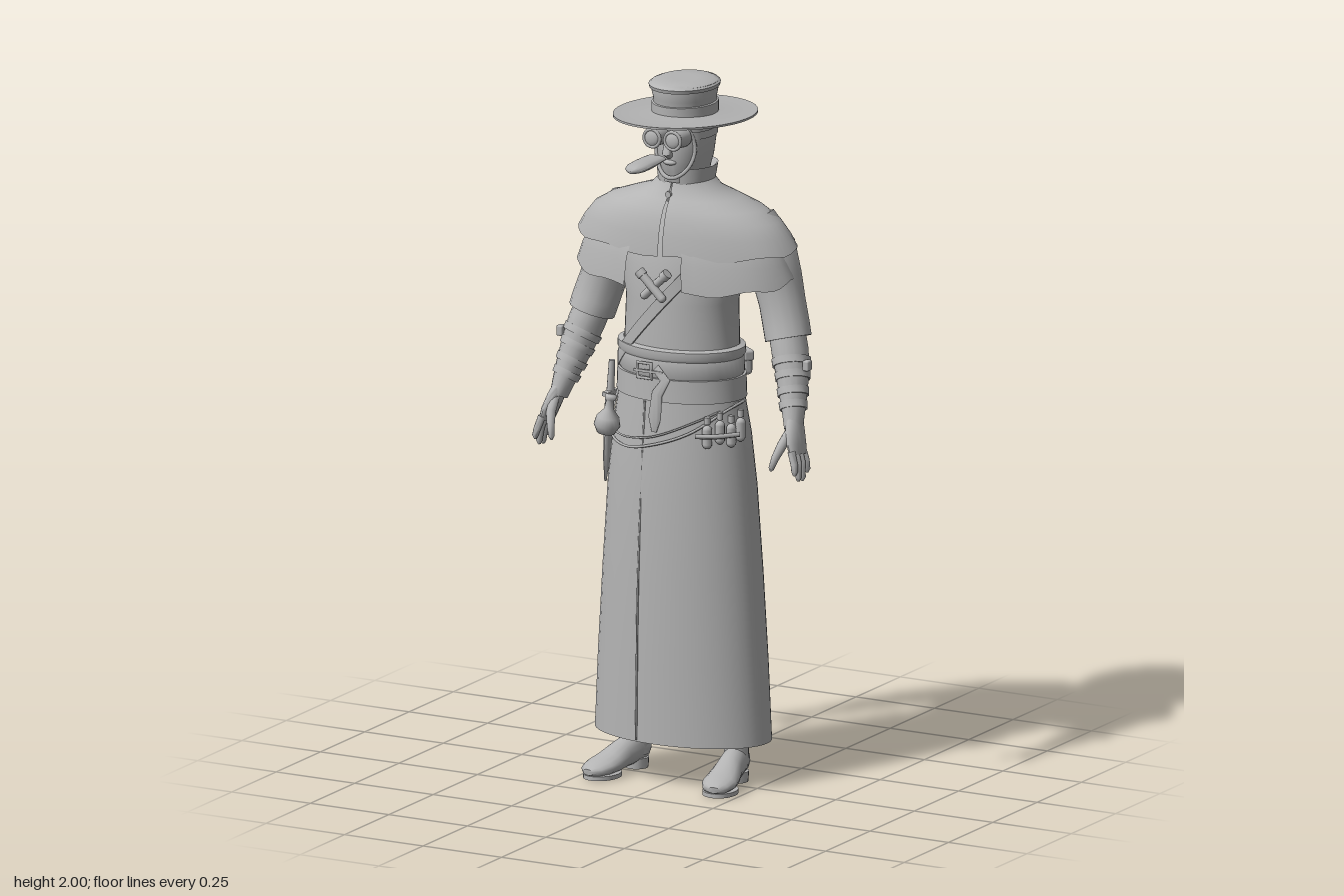
import * as THREE from 'three';
import { toCreasedNormals } from 'three/addons/utils/BufferGeometryUtils.js';
import { RoundedBoxGeometry } from 'three/addons/geometries/RoundedBoxGeometry.js';

const V = (x, y, z) => new THREE.Vector3(x, y, z);

export function createModel() {
  const root = new THREE.Group();
  root.name = 'robedFigure';
  const grey = new THREE.MeshStandardMaterial({ color: 0xb4b4b4, side: THREE.DoubleSide });
  grey.name = 'plain grey';

  const add = (name, geo, parent = root) => {
    const m = new THREE.Mesh(geo, grey);
    m.name = name;
    parent.add(m);
    return m;
  };
  const group = (name, parent = root) => {
    const g = new THREE.Group();
    g.name = name;
    parent.add(g);
    return g;
  };

  // Skin a list of point rings
  function skin(rings, closed = true, caps = false, crease = 0.9) {
    const n = rings[0].length, pos = [], idx = [];
    rings.forEach(r => r.forEach(p => pos.push(p.x, p.y, p.z)));
    for (let i = 0; i < rings.length - 1; i++) {
      for (let j = 0; j < (closed ? n : n - 1); j++) {
        const a = i * n + j, b = i * n + (j + 1) % n;
        idx.push(a, b, a + n, b, b + n, a + n);
      }
    }
    if (caps) [0, rings.length - 1].forEach(k => {
      const c = rings[k].reduce((s, p) => s.add(p), V(0, 0, 0)).divideScalar(n);
      const ci = pos.length / 3;
      pos.push(c.x, c.y, c.z);
      for (let j = 0; j < n; j++) {
        const a = k * n + j, b = k * n + (j + 1) % n;
        if (k) idx.push(a, b, ci); else idx.push(b, a, ci);
      }
    });
    const g = new THREE.BufferGeometry();
    g.setAttribute('position', new THREE.Float32BufferAttribute(pos, 3));
    g.setIndex(idx);
    return toCreasedNormals(g, crease);
  }

  // Oval levels from bottom to top: [y, half width, front z, back z]
  function levels(list, { from = 0, to = Math.PI * 2, caps = false, tiltX = 0, tiltZ = 0, hem = null, n = 48 } = {}) {
    const closed = to - from > 6.28;
    const rings = list.map(([y, rx, zf, zb], i) => Array.from({ length: n }, (_, j) => {
      const a = from + (to - from) * j / (closed ? n : n - 1);
      const x = rx * Math.sin(a), z = (zf + zb) / 2 + (zf - zb) / 2 * Math.cos(a);
      return V(x, y + tiltX * x + tiltZ * z + (hem && i === 0 ? hem(a) : 0), z);
    }));
    return skin(rings, closed, caps);
  }

  // Tapered limb: rows of [x, y, z, radius along ref, other radius]
  function limb(rows, ref = V(0, 0, 1), n = 16) {
    const pts = rows.map(r => V(r[0], r[1], r[2]));
    const rings = rows.map((r, i) => {
      const t = pts[Math.min(i + 1, pts.length - 1)].clone().sub(pts[Math.max(i - 1, 0)]).normalize();
      const u = ref.clone().addScaledVector(t, -ref.dot(t)).normalize();
      const v = t.clone().cross(u);
      return Array.from({ length: n }, (_, j) => {
        const a = j / n * Math.PI * 2;
        return pts[i].clone().addScaledVector(u, r[3] * Math.cos(a)).addScaledVector(v, (r[4] ?? r[3]) * Math.sin(a));
      });
    });
    return skin(rings, true, true);
  }
  const tube = (pts, r) => new THREE.TubeGeometry(new THREE.CatmullRomCurve3(pts.map(p => V(...p))), 32, r, 6);

  // Robe
  add('skirt', levels([[0.125, 0.267, 0.137, -0.19], [0.35, 0.256, 0.137, -0.188], [0.6, 0.24, 0.135, -0.184],
    [0.85, 0.222, 0.13, -0.175], [1.0, 0.205, 0.122, -0.165], [1.13, 0.183, 0.112, -0.148]]));
  add('torso', levels([[1.08, 0.18, 0.11, -0.146], [1.25, 0.17, 0.106, -0.145], [1.38, 0.165, 0.106, -0.152],
    [1.48, 0.19, 0.1, -0.158], [1.58, 0.2, 0.075, -0.155], [1.66, 0.11, 0.04, -0.13]]));
  add('robeSeam', tube([[-0.06, 0.13, 0.135], [-0.055, 0.6, 0.132], [-0.045, 1.1, 0.112]], 0.003));

  // Two layered cape with an open front
  add('lowerCape', levels([[1.455, 0.335, 0.122, -0.205], [1.5, 0.318, 0.116, -0.203], [1.56, 0.29, 0.1, -0.19], [1.63, 0.22, 0.07, -0.16]],
    { from: 0.22, to: Math.PI * 2 - 0.34, hem: a => -0.035 * Math.max(0, Math.cos(a)) + 0.006 * Math.sin(9 * a) }));
  add('upperCape', levels([[1.54, 0.338, 0.108, -0.212], [1.575, 0.318, 0.102, -0.208], [1.615, 0.285, 0.092, -0.195], [1.645, 0.235, 0.08, -0.18],
    [1.67, 0.165, 0.062, -0.157], [1.69, 0.105, 0.048, -0.135], [1.715, 0.078, 0.038, -0.127]],
    { from: 0.02, to: Math.PI * 2 - 0.02, hem: a => -0.022 * Math.max(0, Math.cos(a)) + 0.005 * Math.sin(8 * a) }));
  add('collar', levels([[1.69, 0.075, 0.04, -0.128], [1.755, 0.084, 0.042, -0.14], [1.752, 0.078, 0.034, -0.134], [1.7, 0.069, 0.03, -0.122]],
    { from: 0.3, to: Math.PI * 2 - 0.3 }));
  const clasp = add('clasp', new THREE.CylinderGeometry(0.009, 0.009, 0.008, 12));
  clasp.rotation.x = Math.PI / 2;
  clasp.position.set(0, 1.685, 0.058);

  // Head and hood
  const head = group('head');
  add('hood', levels([[1.66, 0.06, 0.025, -0.12], [1.71, 0.058, 0.032, -0.122], [1.745, 0.062, 0.045, -0.128], [1.78, 0.073, 0.053, -0.134],
    [1.83, 0.08, 0.052, -0.137], [1.88, 0.081, 0.047, -0.137], [1.92, 0.08, 0.045, -0.136]]), head);
  const rim = Array.from({ length: 24 }, (_, i) => {
    const a = i / 24 * Math.PI * 2;
    return V(0.062 * Math.sin(a), 1.815 + 0.085 * Math.cos(a), 0.05 - 0.032 * Math.sin(a) ** 2);
  });
  add('hoodRim', new THREE.TubeGeometry(new THREE.CatmullRomCurve3(rim, true), 48, 0.006, 6, true), head);
  add('nose', limb([[0, 1.86, 0.045, 0.006], [0, 1.825, 0.062, 0.012], [0, 1.805, 0.066, 0.014], [0, 1.795, 0.052, 0.01]]), head);
  add('mouth', new THREE.SphereGeometry(0.02, 16, 8).scale(1, 0.4, 0.6).translate(0, 1.775, 0.05), head);
  for (const s of [-1, 1]) {
    const cup = add('goggleCup', new THREE.CylinderGeometry(0.025, 0.029, 0.055, 20), head);
    cup.rotation.x = Math.PI / 2;
    cup.position.set(s * 0.033, 1.85, 0.065);
    add('goggleRing', new THREE.TorusGeometry(0.025, 0.005, 8, 24).translate(s * 0.033, 1.85, 0.093), head);
    add('goggleLens', new THREE.SphereGeometry(0.023, 16, 8).scale(1, 1, 0.4).translate(s * 0.033, 1.85, 0.092), head);
  }
  add('goggleStrap', levels([[1.84, 0.084, 0.054, -0.141], [1.862, 0.084, 0.054, -0.141]]), head);
  // Detached beak tip
  add('beak', limb([[0, 1.806, 0.127, 0.008, 0.032], [0, 1.803, 0.2, 0.014, 0.034], [0, 1.802, 0.235, 0.013, 0.033],
    [0, 1.801, 0.258, 0.011, 0.025], [0, 1.8, 0.27, 0.008, 0.013], [0, 1.8, 0.275, 0.002, 0.003]], V(0, 1, 0)), head);

  // Hat
  const hat = group('hat');
  add('brim', levels([[1.897, 0.078, 0.06, -0.13], [1.892, 0.14, 0.14, -0.21], [1.898, 0.187, 0.204, -0.279],
    [1.904, 0.187, 0.204, -0.279], [1.902, 0.14, 0.14, -0.21], [1.908, 0.078, 0.06, -0.13]], { tiltZ: 0.05 }), hat);
  add('crown', levels([[1.9, 0.084, 0.06, -0.133], [1.95, 0.085, 0.064, -0.136], [1.985, 0.092, 0.074, -0.143],
    [1.993, 0.09, 0.071, -0.14], [1.999, 0.075, 0.055, -0.125], [2.0, 0.04, 0.01, -0.08]], { caps: true }), hat);
  add('hatBand', levels([[1.905, 0.09, 0.066, -0.139], [1.935, 0.09, 0.067, -0.139], [1.937, 0.084, 0.062, -0.134]]), hat);
  add('crownTrim', levels([[1.978, 0.094, 0.076, -0.144], [1.988, 0.096, 0.079, -0.146], [1.994, 0.088, 0.07, -0.14]]), hat);

  // Belts and the shoulder strap
  const belts = group('belts');
  add('waistBelt', levels([[1.105, 0.186, 0.116, -0.153], [1.105, 0.192, 0.124, -0.16], [1.17, 0.19, 0.122, -0.158], [1.17, 0.182, 0.114, -0.15]]), belts);
  add('waistSash', levels([[1.165, 0.18, 0.112, -0.15], [1.175, 0.185, 0.117, -0.154], [1.235, 0.184, 0.118, -0.154], [1.245, 0.172, 0.108, -0.146]]), belts);
  add('sashTrim', levels([[1.222, 0.184, 0.12, -0.155], [1.23, 0.189, 0.124, -0.159], [1.25, 0.188, 0.123, -0.158], [1.255, 0.172, 0.108, -0.146]]), belts);
  add('shoulderStrap', levels([[1.355, 0.186, 0.112, -0.158], [1.357, 0.192, 0.118, -0.165], [1.403, 0.192, 0.118, -0.165], [1.405, 0.186, 0.112, -0.158]],
    { tiltX: 1.1 }), belts);
  [[-0.045, 0.05, 0.008], [-0.045, -0.025 + 0.025, 0.008]].forEach(([x, h, t]) => h &&
    add('buckleTongue', new THREE.BoxGeometry(0.09, t, 0.006).translate(x + 0.02, 1.19, 0.128), belts));
  const buckle = add('buckle', new THREE.TorusGeometry(0.03, 0.006, 6, 4), belts);
  buckle.geometry.rotateZ(Math.PI / 4);
  buckle.position.set(-0.04, 1.19, 0.124);
  add('beltTail', limb([[-0.005, 1.2, 0.122, 0.004, 0.014], [0.03, 1.17, 0.13, 0.004, 0.016], [0.005, 1.13, 0.131, 0.004, 0.017],
    [-0.003, 1.06, 0.131, 0.004, 0.02], [-0.005, 1.02, 0.13, 0.004, 0.008]]), belts);
  add('hipCord', tube([[-0.2, 1.1, -0.02], [-0.185, 0.99, 0.06], [-0.1, 0.965, 0.12], [0, 0.985, 0.132], [0.1, 1.025, 0.113],
    [0.18, 1.085, 0.055], [0.195, 1.1, -0.02]], 0.004), belts);
  add('hipCordLower', tube([[-0.2, 1.09, -0.03], [-0.15, 1.0, 0.095], [-0.03, 1.0, 0.13], [0.12, 1.06, 0.1], [0.19, 1.1, 0]], 0.003), belts);
  add('backCord', tube([[-0.2, 1.1, -0.03], [-0.17, 1.02, -0.12], [-0.08, 1.06, -0.155], [0, 1.1, -0.16]], 0.004), belts);

  // Crossed chest vials
  for (const s of [-1, 1]) {
    const vial = group('chestVial');
    add('vialBody', new THREE.CapsuleGeometry(0.012, 0.085, 4, 12), vial);
    add('vialCap', new THREE.CylinderGeometry(0.015, 0.015, 0.018, 12).translate(0, 0.05, 0), vial);
    vial.position.set(-0.01, 1.435, s > 0 ? 0.132 : 0.122);
    vial.rotation.z = s * 0.8;
  }

  // Belt pouches around the back
  [['largePouch', 0, -0.18, 0, 0.14, 0.105, 0.045], ['leftPouch', 0.135, -0.125, -0.65, 0.075, 0.07, 0.03], ['rightPouch', -0.135, -0.125, 0.65, 0.08, 0.075, 0.035]]
    .forEach(([name, x, z, ry, w, h, d]) => {
      const g = group(name);
      add('pouchBody', new RoundedBoxGeometry(w, h, d, 3, 0.012), g);
      add('pouchFlap', new RoundedBoxGeometry(w * 1.05, h * 0.45, d * 1.1, 2, 0.008).translate(0, h * 0.3, -0.002), g);
      g.position.set(x, 1.185, z);
      g.rotation.y = ry;
    });

  // Flask and dagger on the right hip
  const flask = group('flask');
  add('flaskBody', new THREE.LatheGeometry([[0, -0.04], [0.025, -0.035], [0.037, -0.012], [0.032, 0.012], [0.014, 0.034], [0.011, 0.06], [0.016, 0.064], [0.016, 0.076], [0, 0.078]]
    .map(p => new THREE.Vector2(...p)), 20), flask);
  flask.position.set(-0.168, 1.025, 0.105);
  flask.rotation.z = -0.15;
  const dagger = group('dagger');
  add('sheath', limb([[0, 0.06, 0, 0.022, 0.011], [0, -0.12, 0, 0.016, 0.008], [0, -0.19, 0, 0.004, 0.003]]), dagger);
  add('guard', new THREE.BoxGeometry(0.018, 0.012, 0.06).translate(0, 0.066, 0), dagger);
  add('grip', new THREE.CylinderGeometry(0.009, 0.011, 0.09, 10).translate(0, 0.115, 0), dagger);
  dagger.position.set(-0.222, 1.01, 0.0);
  dagger.rotation.z = -0.06;

  // Cluster of small bottles on the left hip
  const bottles = group('hipBottles');
  for (let i = 0; i < 4; i++) {
    const a = 0.75 + i * 0.2, x = 0.21 * Math.sin(a), z = -0.02 + 0.155 * Math.cos(a);
    add('bottle', new THREE.CapsuleGeometry(0.014, 0.04, 4, 10).translate(x, 1.015 + 0.012 * (i % 2), z), bottles);
    add('stopper', new THREE.CylinderGeometry(0.009, 0.009, 0.02, 10).translate(x, 1.062 + 0.012 * (i % 2), z), bottles);
  }
  add('bottleLoop', tube([[0.12, 1.02, 0.122], [0.17, 1.02, 0.096], [0.215, 1.02, 0.04]], 0.007), bottles);

  // Arms, hands and boots, mirrored
  for (const s of [1, -1]) {
    const side = s > 0 ? 'left' : 'right';
    const arm = group(side + 'Arm');
    arm.scale.x = s;
    add('sleeve', limb([[0.2, 1.61, -0.075, 0.06], [0.245, 1.53, -0.082, 0.074], [0.265, 1.45, -0.085, 0.073, 0.07], [0.285, 1.38, -0.08, 0.066, 0.066],
      [0.303, 1.32, -0.07, 0.064, 0.067], [0.313, 1.285, -0.064, 0.066, 0.066]]), arm);
    add('forearm', limb([[0.305, 1.31, -0.068, 0.052], [0.325, 1.25, -0.053, 0.054, 0.052], [0.342, 1.19, -0.036, 0.047], [0.357, 1.13, -0.014, 0.04, 0.038],
      [0.367, 1.085, 0.003, 0.034, 0.03], [0.374, 1.05, 0.015, 0.032, 0.024]]), arm);
    [[0.333, 1.222, -0.046, 0.056], [0.343, 1.186, -0.035, 0.051], [0.353, 1.145, -0.02, 0.046], [0.361, 1.11, -0.007, 0.041]].forEach(([x, y, z, r]) =>
      add('bracerStrap', limb([[x - 0.003, y + 0.009, z - 0.004, r], [x + 0.003, y - 0.009, z + 0.004, r - 0.002]]), arm));
    add('bracerBuckle', new RoundedBoxGeometry(0.02, 0.03, 0.025, 2, 0.005).translate(0.392, 1.225, -0.03), arm);
    add('palm', limb([[0.37, 1.08, 0.004, 0.03, 0.022], [0.382, 1.045, 0.02, 0.04, 0.02], [0.393, 1.01, 0.032, 0.044, 0.018], [0.4, 0.985, 0.036, 0.04, 0.014]]), arm);
    [[0.068, 0.078, 0.935], [0.047, 0.056, 0.915], [0.027, 0.033, 0.912], [0.007, 0.007, 0.93]].forEach(([z0, z1, y]) =>
      add('finger', limb([[0.397, 1.0, z0, 0.011], [0.409, 0.965, (z0 + z1) / 2, 0.0105], [0.413, y + 0.01, z1, 0.009], [0.412, y, z1, 0.004]], V(0, 0, 1), 10), arm));
    add('thumb', limb([[0.375, 1.05, 0.035, 0.014], [0.368, 1.015, 0.07, 0.014], [0.357, 0.98, 0.09, 0.011], [0.35, 0.953, 0.098, 0.008], [0.349, 0.945, 0.099, 0.003]], V(0, 0, 1), 10), arm);

    const leg = group(side + 'Leg');
    leg.scale.x = s;
    leg.position.x = s * 0.168;
    leg.rotation.y = s * 0.2;
    add('bootShaft', limb([[0, 0.04, -0.042, 0.036, 0.034], [0, 0.11, -0.045, 0.034, 0.035], [0, 0.25, -0.045, 0.048, 0.046], [0, 0.4, -0.04, 0.05, 0.05], [0, 0.75, -0.03, 0.065, 0.06]]), leg);
    add('bootFoot', limb([[0, 0.045, -0.085, 0.02, 0.018], [0, 0.055, -0.07, 0.04, 0.032], [0, 0.06, -0.03, 0.046, 0.036], [0, 0.05, 0.02, 0.04, 0.039], [0, 0.037, 0.07, 0.03, 0.047],
      [0, 0.031, 0.11, 0.024, 0.05], [0, 0.026, 0.145, 0.018, 0.038], [0, 0.024, 0.162, 0.009, 0.018]], V(0, 1, 0)), leg);
    add('sole', new THREE.CylinderGeometry(0.05, 0.05, 0.012, 24).scale(0.98, 1, 1.2).translate(0, 0.007, 0.1), leg);
    add('heel', new THREE.CylinderGeometry(0.035, 0.033, 0.03, 16).translate(0, 0.015, -0.045), leg);
  }
  return root;
}
